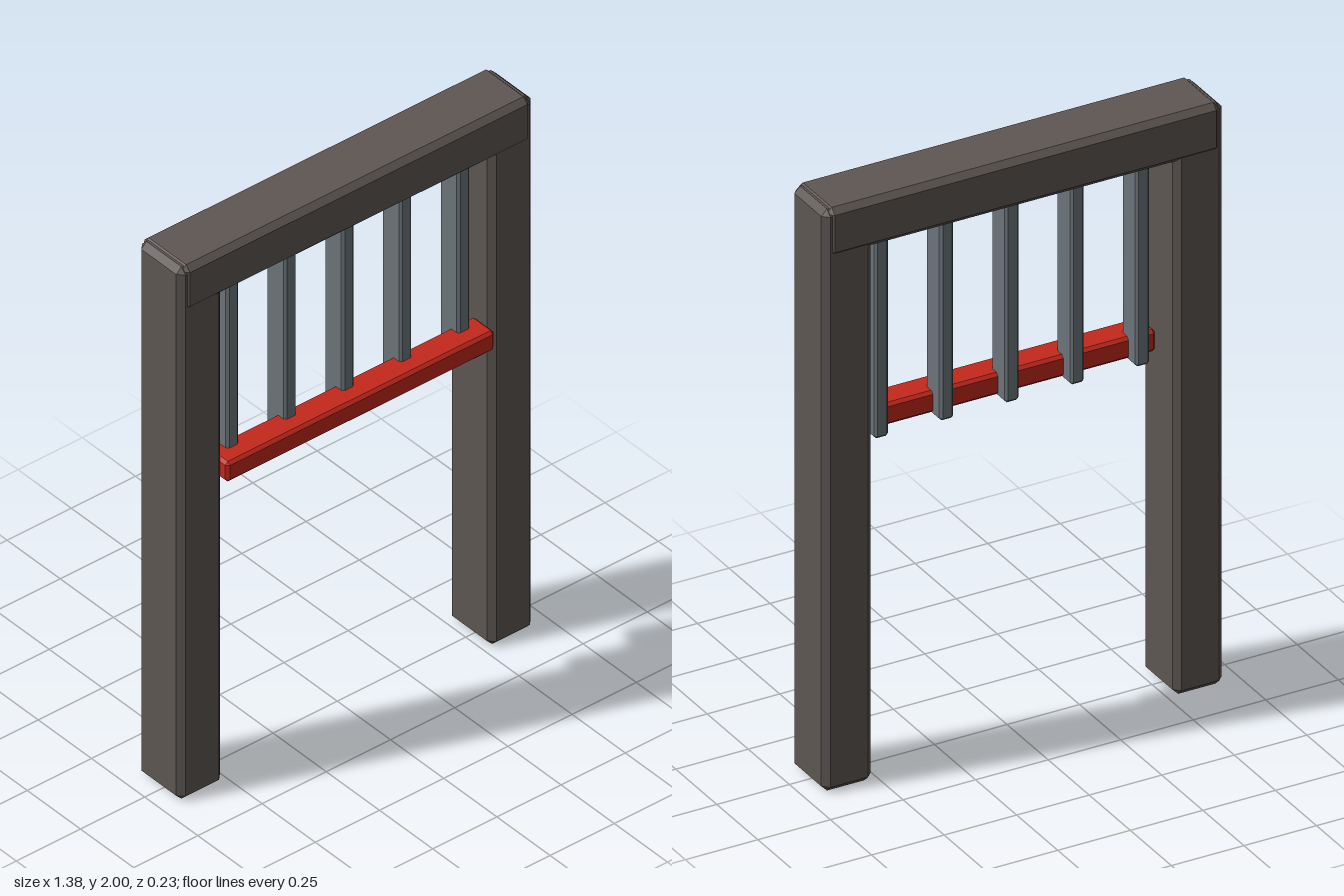
import * as THREE from 'three';
import { ConvexGeometry } from 'three/addons/geometries/ConvexGeometry.js';

const stone = new THREE.MeshStandardMaterial({ color: 0x5e5753 });
const steel = new THREE.MeshStandardMaterial({ color: 0x6c757a });
const red = new THREE.MeshStandardMaterial({ color: 0xc4281c });

// Box between two corners with all edges chamfered by c
function chamferBox(name, material, min, max, c) {
  const centre = min.map((v, i) => (v + max[i]) / 2);
  const half = min.map((v, i) => (max[i] - v) / 2);
  const points = [];
  for (const sx of [-1, 1]) for (const sy of [-1, 1]) for (const sz of [-1, 1]) {
    for (let axis = 0; axis < 3; axis++) {
      const [x, y, z] = half.map((h, i) => (i === axis ? h : h - c));
      points.push(new THREE.Vector3(sx * x, sy * y, sz * z));
    }
  }
  const mesh = new THREE.Mesh(new ConvexGeometry(points), material);
  mesh.name = name;
  mesh.position.set(...centre);
  return mesh;
}

export function createModel() {
  const gate = new THREE.Group();
  gate.name = 'barredGateway';

  // Upright posts
  gate.add(chamferBox('leftPost', stone, [0.52, 0, -0.108], [0.69, 1.995, 0.096], 0.02));
  gate.add(chamferBox('rightPost', stone, [-0.69, 0, -0.108], [-0.52, 1.995, 0.096], 0.02));

  // Lintel across the top, slightly proud of the posts
  gate.add(chamferBox('lintel', stone, [-0.676, 1.834, -0.113], [0.676, 2, 0.101], 0.019));

  // Hanging bars
  const bars = new THREE.Group();
  bars.name = 'bars';
  for (let i = -2; i <= 2; i++) {
    const x = i * 0.225;
    bars.add(chamferBox('bar', steel, [x - 0.024, 1.123, -0.035], [x + 0.024, 1.87, 0.055], 0.008));
  }
  gate.add(bars);

  // Cross rail in front of the bar ends
  gate.add(chamferBox('crossRail', red, [-0.522, 1.13, 0.012], [0.522, 1.205, 0.113], 0.01));

  return gate;
}
